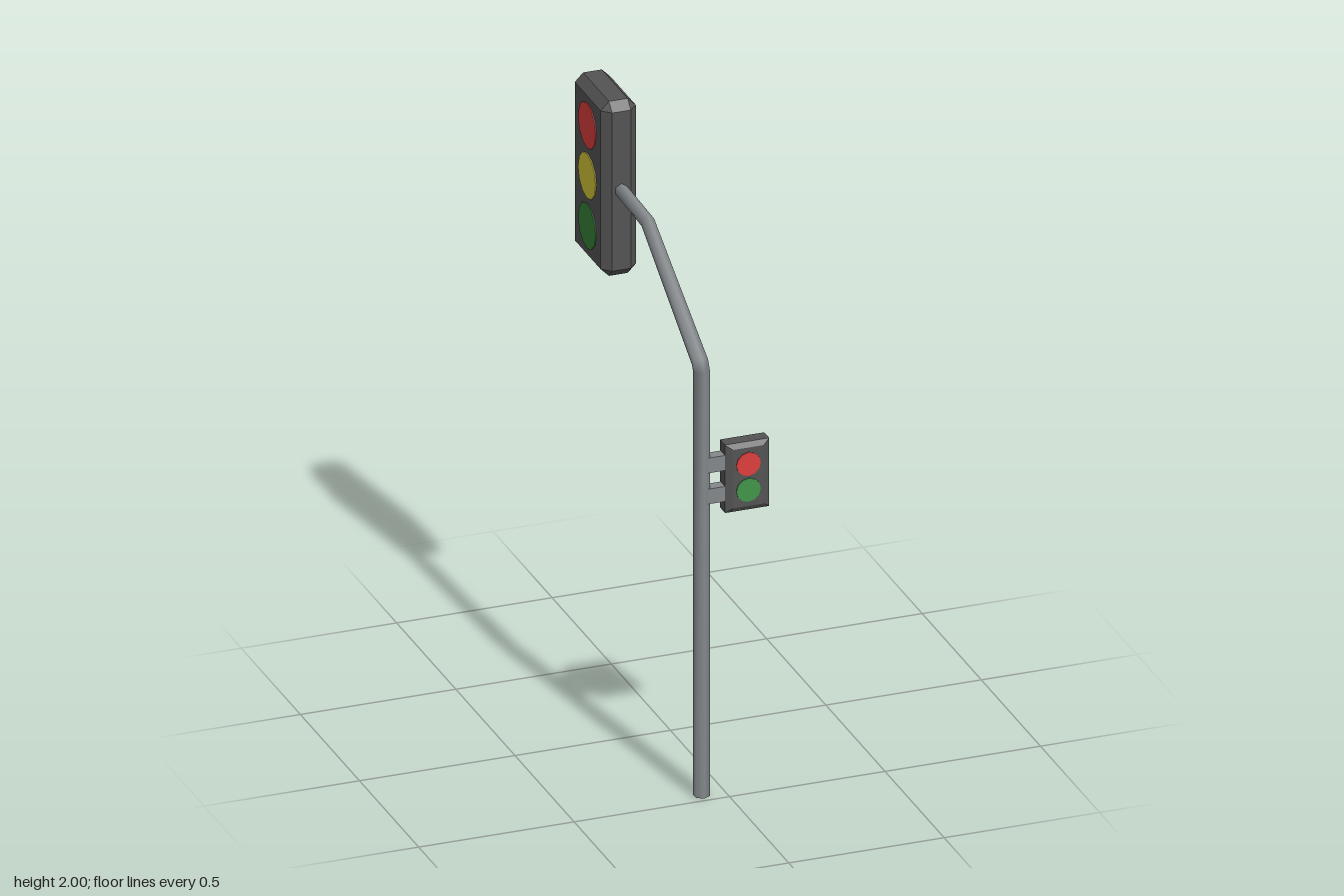
import * as THREE from 'three';
import { ConvexGeometry } from 'three/addons/geometries/ConvexGeometry.js';

const mat = (name, color) => Object.assign(new THREE.MeshStandardMaterial({ color }), { name });

function add(parent, name, geometry, material, x = 0, y = 0, z = 0) {
  const mesh = new THREE.Mesh(geometry, material);
  mesh.name = name;
  mesh.position.set(x, y, z);
  parent.add(mesh);
  return mesh;
}

// Convex solid from one set of corners mirrored across all three axes
function mirroredHull(corners) {
  const points = [];
  for (const [x, y, z] of corners)
    for (const sx of [-1, 1]) for (const sy of [-1, 1]) for (const sz of [-1, 1])
      points.push(new THREE.Vector3(x * sx, y * sy, z * sz));
  return new ConvexGeometry(points);
}

// Six-sided tube through rings of [y, z, tilt, radius], bending in the yz plane
function bentPole(x, rings, sides = 6) {
  const pos = [], index = [];
  for (const [y, z, tilt, r] of rings) {
    for (let i = 0; i < sides; i++) {
      const a = (i / sides) * Math.PI * 2;
      const depth = r * Math.cos(a);
      pos.push(x + r * Math.sin(a), y + depth * Math.sin(tilt), z + depth * Math.cos(tilt));
    }
  }
  for (let j = 0; j < rings.length - 1; j++) {
    for (let i = 0; i < sides; i++) {
      const a = j * sides + i, b = j * sides + (i + 1) % sides;
      index.push(a, b, b + sides, a, b + sides, a + sides);
    }
  }
  const geometry = new THREE.BufferGeometry();
  geometry.setAttribute('position', new THREE.Float32BufferAttribute(pos, 3));
  geometry.setIndex(index);
  geometry.computeVertexNormals();
  return geometry;
}

export function createModel() {
  const model = new THREE.Group();
  model.name = 'trafficLight';
  const steel = mat('steel grey', 0x84888b);
  const housing = mat('housing dark grey', 0x545454);
  const red = mat('signal red', 0xdc3e3e);
  const yellow = mat('signal yellow', 0xd6c63a);
  const green = mat('signal green', 0x388238);
  const walkGreen = mat('walk green', 0x42944a);

  // Pole, sloping arm and level tip
  const px = -0.075, pz = 0.46;
  add(model, 'pole', bentPole(px, [
    [0, pz, 0, 0.026],
    [1.41, pz, 0.1, 0.026],
    [1.434, 0.447, 0.75, 0.026],
    [1.704, 0.006, 1.3, 0.022],
    [1.714, -0.26, 1.55, 0.021],
  ]), steel);
  const cap = add(model, 'poleBase', new THREE.CircleGeometry(0.026, 6), steel, px, 0, pz);
  cap.rotation.set(Math.PI / 2, 0, Math.PI / 2);

  // Vehicle signal: box chamfered on every edge, lamps on both sides
  const signal = new THREE.Group();
  signal.name = 'vehicleSignal';
  signal.position.set(-0.0745, 1.71, -0.354);
  model.add(signal);
  const hx = 0.057, hy = 0.29, hz = 0.136, c = 0.027;
  add(signal, 'signalHousing', mirroredHull([
    [hx, hy - c, hz - c], [hx - c, hy, hz - c], [hx - c, hy - c, hz],
  ]), housing);
  const bigLamp = new THREE.CylinderGeometry(0.074, 0.074, 0.006, 12);
  [['redLamp', red, 0.167], ['yellowLamp', yellow, 0], ['greenLamp', green, -0.167]].forEach(([name, m, y]) => {
    for (const s of [-1, 1]) add(signal, name, bigLamp, m, s * hx, y, 0).rotation.z = -s * Math.PI / 2;
  });

  // Pedestrian signal: box with bevelled front and back
  const walk = new THREE.Group();
  walk.name = 'pedestrianSignal';
  walk.position.set(0.065, 1.047, 0.457);
  model.add(walk);
  add(walk, 'walkHousing', mirroredHull([
    [0.071, 0.113, 0.021], [0.05, 0.097, 0.031],
  ]), housing);
  const smallLamp = new THREE.CylinderGeometry(0.039, 0.039, 0.006, 12);
  [['stopLamp', red, 0.043], ['walkLamp', walkGreen, -0.043]].forEach(([name, m, y]) => {
    for (const s of [-1, 1]) add(walk, name, smallLamp, m, 0, y, s * 0.031).rotation.x = s * Math.PI / 2;
  });

  // Brackets joining the pedestrian signal to the pole
  for (const y of [1.1, 0.997])
    add(model, 'bracket', new THREE.BoxGeometry(0.075, 0.05, 0.037), steel, -0.03, y, 0.459);

  return model;
}
